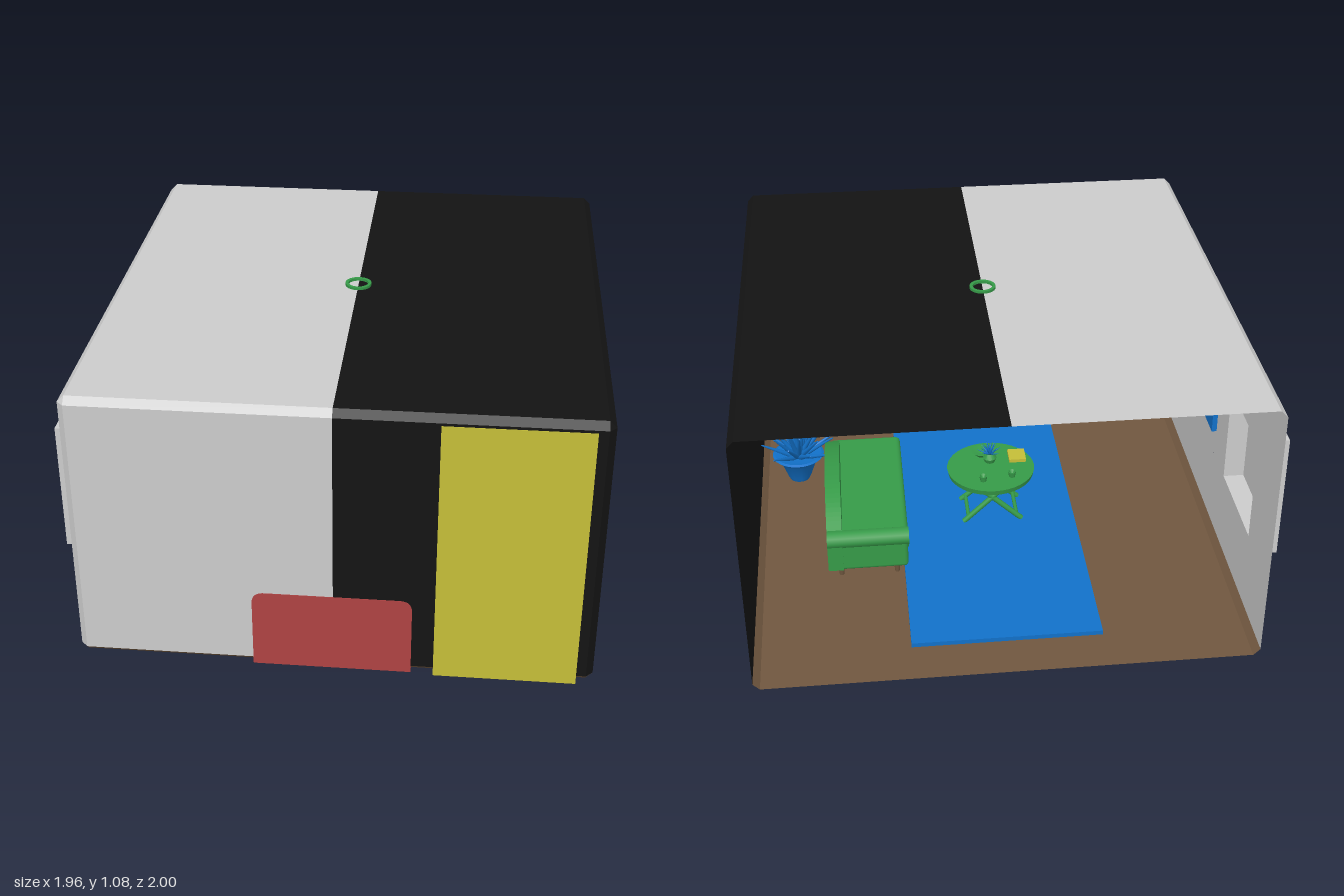
import * as THREE from 'three';
import { RoundedBoxGeometry } from 'three/addons/geometries/RoundedBoxGeometry.js';
import { toCreasedNormals } from 'three/addons/utils/BufferGeometryUtils.js';

const paint = (color, flatShading = false) =>
  new THREE.MeshStandardMaterial({ color, flatShading, side: THREE.DoubleSide });
const GREY = paint(0xcccccc), DARK = paint(0x131313), BROWN = paint(0x70573f);
const BLUE = paint(0x1271c9), GREEN = paint(0x369a48), YELLOW = paint(0xc4bd38), RED = paint(0xae4242);

// Room limits, with a small bevel along the outer edges
const L = -0.88, R = 0.98, B = 0.01, T = 1.07, C = 0.025, SPLIT = 0.05;

export function createModel() {
  const model = new THREE.Group();

  const add = (name, geometry, material, x = 0, y = 0, z = 0, parent = model) => {
    const mesh = new THREE.Mesh(geometry, material);
    mesh.name = name;
    mesh.position.set(x, y, z);
    parent.add(mesh);
    return mesh;
  };
  const group = (name, x = 0, y = 0, z = 0) => {
    const g = new THREE.Group();
    g.name = name;
    g.position.set(x, y, z);
    model.add(g);
    return g;
  };
  // Box given by its lower and upper corners
  const box = (name, mat, a, b, parent = model) => add(name,
    new THREE.BoxGeometry(b[0] - a[0], b[1] - a[1], b[2] - a[2]), mat,
    (a[0] + b[0]) / 2, (a[1] + b[1]) / 2, (a[2] + b[2]) / 2, parent);
  // Round bar between two points
  const rod = (name, mat, a, b, r, r2 = r, parent = model) => {
    const p = new THREE.Vector3(...a), q = new THREE.Vector3(...b), d = q.clone().sub(p);
    const mesh = add(name, new THREE.CylinderGeometry(r2, r, d.length(), 10), mat, 0, 0, 0, parent);
    mesh.position.copy(p).add(q).multiplyScalar(0.5);
    mesh.quaternion.setFromUnitVectors(new THREE.Vector3(0, 1, 0), d.normalize());
  };
  const lathe = (name, mat, pts, x, y, z, parent = model) => add(name,
    toCreasedNormals(new THREE.LatheGeometry(pts.map(p => new THREE.Vector2(...p)), 32), 0.6), mat, x, y, z, parent);
  const rect = (Type, u, v, hu, hv) => new Type([[-1, -1], [1, -1], [1, 1], [-1, 1]]
    .map(([a, b]) => new THREE.Vector2(u + a * hu, v + b * hv)));
  // Shape drawn in (z, y) and extruded towards -x
  const sideExtrude = (name, mat, shape, x, depth, parent = model) => {
    const mesh = add(name, new THREE.ExtrudeGeometry(shape, { depth, bevelEnabled: false, curveSegments: 16 }), mat, x, 0, 0, parent);
    mesh.rotation.y = -Math.PI / 2;
  };

  // Shell strips: a profile swept along z, drawn in at the bevelled front
  const strip = (name, mat, pts, z0 = -1) => {
    const inset = ([x, y]) => [THREE.MathUtils.clamp(x, L + C, R - C), THREE.MathUtils.clamp(y, B + C, T - C), 1];
    const rows = [pts.map(p => [...p, z0]), pts.map(p => [...p, 1 - C]), pts.map(inset)];
    const v = [];
    for (let r = 0; r < 2; r++) for (let i = 0; i < pts.length - 1; i++) {
      const a = rows[r][i], b = rows[r][i + 1], c = rows[r + 1][i + 1], d = rows[r + 1][i];
      v.push(...a, ...b, ...c, ...a, ...c, ...d);
    }
    const g = new THREE.BufferGeometry();
    g.setAttribute('position', new THREE.Float32BufferAttribute(v, 3));
    g.computeVertexNormals();
    add(name, g, mat);
  };
  strip('floor', BROWN, [[R, B + C], [R - C, B], [L + C, B], [L, B + C]]);
  strip('darkCeilingAndWall', DARK, [[R, B + C], [R, T - C], [R - C, T], [SPLIT, T]]);
  strip('paleCeiling', GREY, [[SPLIT, T], [L + C, T], [L, T - C]]);
  strip('paleWallBevel', GREY, [[L, T - C], [L, B + C]], 1 - C);
  for (const [name, mat, x0, x1] of [['paleFrontWall', GREY, L + C, SPLIT], ['darkFrontWall', DARK, SPLIT, R - C]])
    add(name, new THREE.PlaneGeometry(x1 - x0, T - B - 2 * C), mat, (x0 + x1) / 2, (T + B) / 2, 1);

  // Window wall with two openings, each with a stepped frame and pane
  const wall = rect(THREE.Shape, -C / 2, (T + B) / 2, 1 - C / 2, (T - B) / 2 - C);
  for (const [z, shift] of [[-0.51, -0.015], [0.475, 0.02]]) {
    wall.holes.push(rect(THREE.Path, z, 0.54, 0.2, 0.2));
    const win = group('window');
    const frame = (name, zc, yc, hz, hy, x, depth) => {
      const s = rect(THREE.Shape, zc, yc, hz, hy);
      s.holes.push(rect(THREE.Path, z, 0.54, 0.2, 0.2));
      sideExtrude(name, GREY, s, x, depth, win);
    };
    frame('windowBox', z, 0.54, 0.247, 0.25, L, 0.1);
    frame('windowBase', z, 0.54, 0.257, 0.26, L, 0.01);
    frame('windowFlange', z + shift, 0.55, 0.26, 0.285, -0.912, 0.026);
    box('windowPane', GREY, [-0.97, 0.34, z - 0.2], [-0.96, 0.74, z + 0.2], win);
  }
  const wallMesh = add('windowWall', new THREE.ShapeGeometry(wall), GREY, L);
  wallMesh.rotation.y = -Math.PI / 2;

  // Picture set into the wall between the windows
  box('picture', BLUE, [L - 0.003, 0.45, -0.15], [L + 0.02, 0.83, 0.18]);

  // Rug
  box('rug', BLUE, [-0.32, 0.012, -0.83], [0.4, 0.03, 0.83]);

  // Bookcase in the front corner, open to the room
  const shelf = group('bookcase');
  box('bookcaseBack', YELLOW, [0.41, 0, 0.985], [0.92, 1.035, 1.002], shelf);
  for (const x of [0.41, 0.9]) box('bookcaseSide', YELLOW, [x, 0, 0.88], [x + 0.02, 1.035, 0.99], shelf);
  for (let i = 0; i < 6; i++) box('bookcaseShelf', YELLOW, [0.42, i * 0.203, 0.88], [0.91, i * 0.203 + 0.02, 0.99], shelf);

  // Low cabinet with rounded top corners
  const cab = group('cabinet');
  const cs = new THREE.Shape();
  cs.moveTo(-0.24, 0.008);
  cs.lineTo(0.33, 0.008);
  cs.lineTo(0.33, 0.275);
  cs.quadraticCurveTo(0.33, 0.32, 0.285, 0.32);
  cs.lineTo(-0.195, 0.32);
  cs.quadraticCurveTo(-0.24, 0.32, -0.24, 0.275);
  add('cabinetBody', new THREE.ExtrudeGeometry(cs, { depth: 0.18, bevelEnabled: false }), RED, 0, 0, 0.822, cab);
  for (const x of [-0.21, 0.05]) box('cabinetDoor', RED, [x, 0.05, 0.815], [x + 0.25, 0.27, 0.825], cab);

  // Daybed: long seat, one rolled arm and a back sloping away from it
  const sofa = group('daybed');
  add('daybedBase', new RoundedBoxGeometry(0.31, 0.07, 0.78, 2, 0.015), GREEN, 0.54, 0.09, 0, sofa);
  add('daybedCushion', new RoundedBoxGeometry(0.3, 0.06, 0.76, 3, 0.02), GREEN, 0.53, 0.14, 0.01, sofa);
  const back = new THREE.Shape();
  back.moveTo(-0.4, 0.06);
  back.lineTo(-0.4, 0.2);
  back.bezierCurveTo(-0.34, 0.22, -0.26, 0.31, -0.1, 0.31);
  back.bezierCurveTo(0.1, 0.31, 0.24, 0.25, 0.37, 0.17);
  back.lineTo(0.37, 0.06);
  sideExtrude('daybedBack', GREEN, back, 0.7, 0.06, sofa);
  add('daybedArm', new RoundedBoxGeometry(0.31, 0.14, 0.07, 2, 0.015), GREEN, 0.54, 0.125, -0.36, sofa);
  rod('daybedArmRoll', GREEN, [0.38, 0.19, -0.37], [0.7, 0.19, -0.37], 0.036, 0.036, sofa);
  for (const x of [0.43, 0.65]) for (const z of [-0.36, 0.34])
    rod('daybedLeg', BROWN, [x, 0.012, z], [x, 0.07, z], 0.009, 0.015, sofa);

  // Round table on crossed legs
  const table = group('table', 0.02, 0.03, 0);
  add('tableTop', new THREE.CylinderGeometry(0.18, 0.175, 0.022, 40), GREEN, 0, 0.2, 0, table);
  for (const s of [-1, 1]) {
    for (const k of [-1, 1]) rod('tableLeg', GREEN, [k * 0.12, 0, s * 0.08], [-k * 0.1, 0.195, s * 0.06], 0.011, 0.011, table);
    rod('tableStretcher', GREEN, [s * 0.1, 0.02, -0.078], [s * 0.1, 0.02, 0.078], 0.008, 0.008, table);
  }
  rod('tableCrossBar', GREEN, [0, 0.1, -0.07], [0, 0.1, 0.07], 0.009, 0.009, table);

  // Spiky leaves fanned out by the golden angle
  const leaves = (n, reach, x, y, z) => {
    const plant = group('leaves', x, y, z);
    for (let i = 0; i < n; i++) {
      const a = i * 2.4, tilt = 0.15 + 1.05 * i / n;
      const tip = [Math.cos(a) * Math.sin(tilt), Math.cos(tilt), Math.sin(a) * Math.sin(tilt)].map(c => c * reach);
      rod('leaf', BLUE, [0, 0, 0], tip, reach * 0.07, reach * 0.015, plant);
    }
  };
  // Things on the table
  lathe('vase', GREEN, [[0, 0], [0.02, 0], [0.028, 0.02], [0.016, 0.04], [0.02, 0.045]], 0.02, 0.241, 0.04);
  leaves(22, 0.055, 0.02, 0.275, 0.04);
  lathe('bowl', GREEN, [[0, 0], [0.02, 0], [0.042, 0.022], [0.038, 0.022], [0, 0.006]], 0.05, 0.241, 0.09);
  for (const [x, z] of [[0.06, -0.1], [-0.06, -0.08]])
    lathe('cup', GREEN, [[0, 0], [0.012, 0], [0.017, 0.025], [0.014, 0.025], [0, 0.004]], x, 0.241, z);
  box('book', YELLOW, [-0.13, 0.241, 0.02], [-0.06, 0.255, 0.1]);

  // Potted plant behind the daybed, its foot set through the floor
  lathe('plantPot', BLUE, [[0, 0], [0.04, 0], [0.05, 0.02], [0.075, 0.09], [0.11, 0.125], [0.1, 0.13], [0, 0.11]], 0.82, 0.006, 0.35);
  leaves(34, 0.2, 0.82, 0.11, 0.35);

  // Pendant lamp: hollow canopy, cord and a shade of stacked louvres
  lathe('lampCanopy', GREEN, [[0, 1.045], [0.045, 1.045], [0.05, 1.055], [0.05, 1.08], [0.038, 1.08], [0.038, 1.05]], 0.05, 0, 0);
  rod('lampCord', GREEN, [0.05, 0.72, 0], [0.05, 1.05, 0], 0.004);
  const shade = [0.05, 0.08, 0.1, 0.11, 0.1, 0.08, 0.05];
  shade.forEach((r, i) => lathe('lampLouvre', GREEN,
    [[r * 0.55, 0.028], [r, 0], [r, -0.005], [r * 0.55, 0.02], [r * 0.55, 0.028]], 0.05, 0.75 - i * 0.03, 0));
  add('lampBulb', new THREE.SphereGeometry(0.035, 20, 14), GREEN, 0.05, 0.66, 0);

  return model;
}
